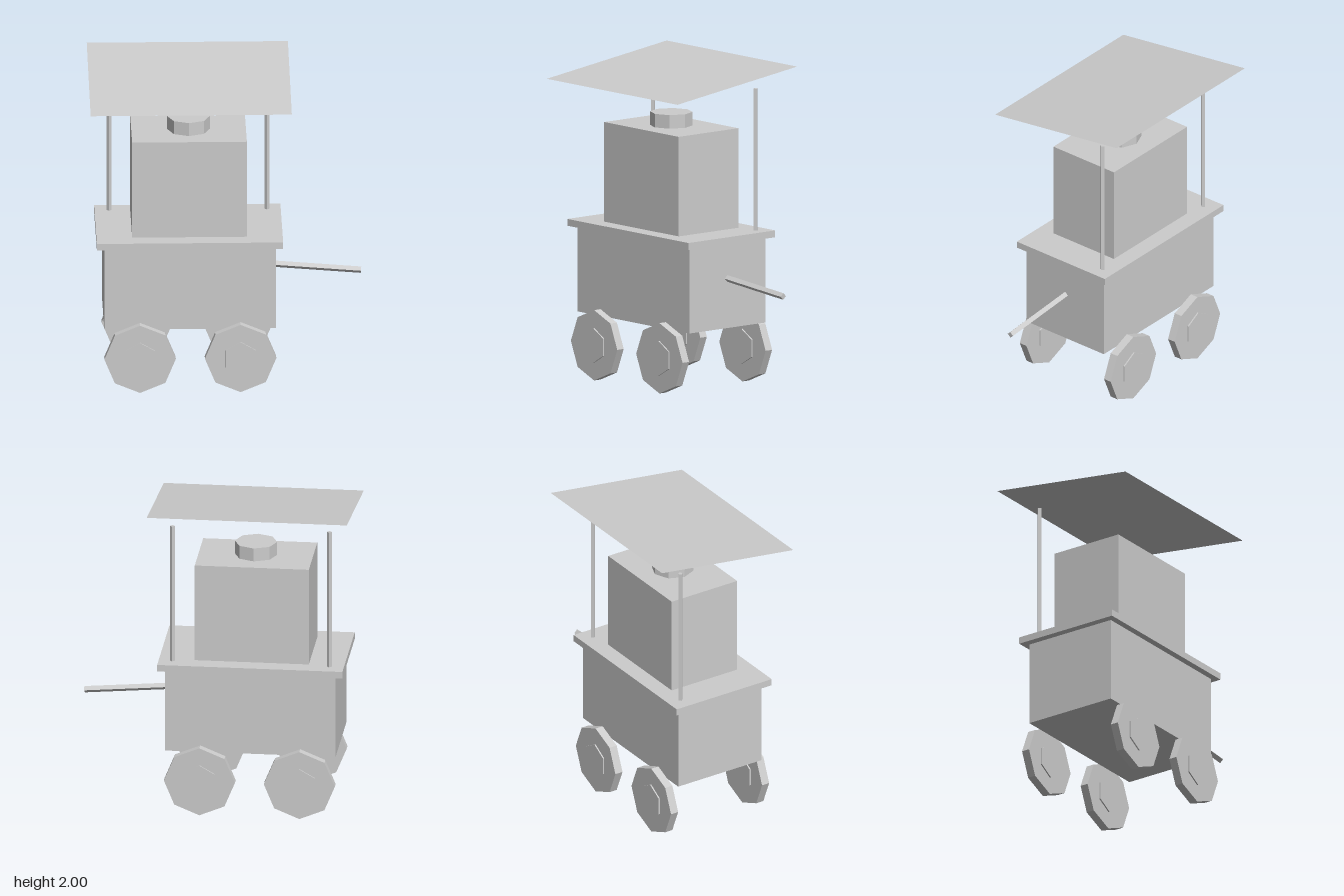
import * as THREE from 'three';

export function createModel() {
  const cart = new THREE.Group();
  cart.name = 'pushCart';
  const grey = new THREE.MeshStandardMaterial({
    color: 0xcccccc, flatShading: true, side: THREE.DoubleSide,
  });
  grey.name = 'plain grey';

  const add = (name, geometry, x, y, z, parent = cart) => {
    const mesh = new THREE.Mesh(geometry, grey);
    mesh.name = name;
    mesh.position.set(x, y, z);
    parent.add(mesh);
    return mesh;
  };
  // Box given by its x, y limits and its depth, centred on z = 0
  const block = (name, x0, x1, y0, y1, depth) =>
    add(name, new THREE.BoxGeometry(x1 - x0, y1 - y0, depth), (x0 + x1) / 2, (y0 + y1) / 2, 0);

  // Body, counter and the cabinet on top
  block('body', -0.757, 0.306, 0.401, 0.937, 0.62);
  block('counter', -0.804, 0.349, 0.937, 0.98, 0.706);
  block('cabinet', -0.583, 0.127, 0.98, 1.605, 0.486);
  add('lid', new THREE.CylinderGeometry(0.132, 0.132, 0.085, 8), -0.228, 1.6475, 0);

  // Octagonal wheels with hexagonal hubs
  const tyre = new THREE.CylinderGeometry(0.221, 0.221, 0.053, 8).rotateX(Math.PI / 2);
  const hub = new THREE.CylinderGeometry(0.11, 0.11, 0.07, 6).rotateX(Math.PI / 2);
  for (const x of [-0.537, 0.085]) {
    for (const side of [-1, 1]) {
      const wheel = new THREE.Group();
      wheel.name = 'wheel';
      wheel.position.set(x, 0.223, side * 0.338);
      add('tyre', tyre, 0, 0, 0, wheel);
      add('hub', hub, 0, 0, 0, wheel);
      cart.add(wheel);
    }
  }

  // Thin square posts at the back
  const post = new THREE.CylinderGeometry(0.0155, 0.0155, 0.89, 4);
  for (const x of [-0.713, 0.264]) add('post', post, x, 1.425, -0.265);

  // Sheet roof sloping down to the front
  const rise = 0.131, run = 0.975;
  const roof = new THREE.PlaneGeometry(1.245, Math.hypot(rise, run));
  roof.rotateX(-Math.PI / 2 + Math.atan2(rise, run));
  add('roof', roof, -0.2235, 1.9345, -0.002);

  // Push handle, dipping slightly away from the body
  const dip = Math.atan2(0.044, 0.534);
  const bar = new THREE.CylinderGeometry(0.021, 0.021, 0.536, 4);
  add('handle', bar.rotateZ(-Math.PI / 2 - dip), 0.572, 0.691, 0);

  return cart;
}
